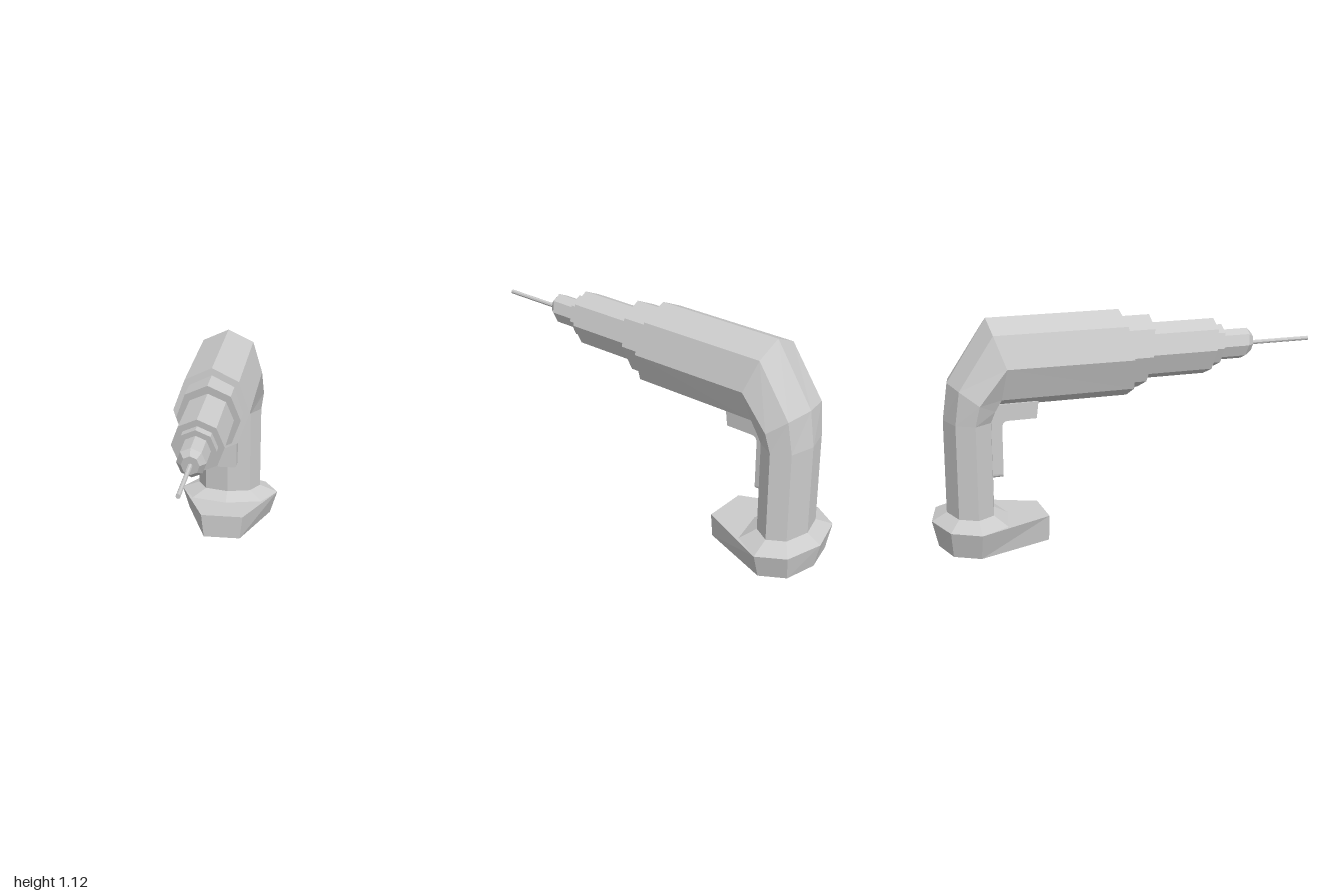
import * as THREE from 'three';

const material = new THREE.MeshStandardMaterial({ color: 0xcccccc, flatShading: true });
const AXIS_Y = 0.897; // height of the drill axis

// Full ring of 8 points from one half (5 points, first and last on x = 0)
function mirrorRing(half) {
  const other = half.slice(1, -1).reverse().map(([x, y, z]) => [-x, y, z]);
  return [...half, ...other];
}

// Elliptical octagon around the drill axis, leaning from zTop to zBottom
function axisRing(rx, ry, zTop, zBottom) {
  const half = [];
  for (let i = 0; i < 5; i++) {
    const a = (i * Math.PI) / 4;
    const t = (1 - Math.cos(a)) / 2;
    half.push([rx * Math.sin(a), AXIS_Y + ry * Math.cos(a), zTop + (zBottom - zTop) * t]);
  }
  half[4][0] = 0;
  return mirrorRing(half);
}

// Horizontal octagon, from back to front
function levelRing(y, back, x1, z1, x2, z2, x3, z3, front) {
  return mirrorRing([[0, y, back], [x1, y, z1], [x2, y, z2], [x3, y, z3], [0, y, front]]);
}

// Closed faceted skin through the rings
function loft(name, rings) {
  const pos = [];
  const tri = (...points) => points.forEach((p) => pos.push(...p));
  const n = rings[0].length;
  const centre = (ring) => [0, 1, 2].map((k) => ring.reduce((s, p) => s + p[k], 0) / n);
  const first = rings[0];
  const last = rings[rings.length - 1];
  for (let j = 0; j < n; j++) {
    const k = (j + 1) % n;
    for (let i = 0; i < rings.length - 1; i++) {
      const a = rings[i];
      const b = rings[i + 1];
      tri(a[j], a[k], b[k], a[j], b[k], b[j]);
    }
    tri(centre(first), first[k], first[j]);
    tri(centre(last), last[j], last[k]);
  }
  const geometry = new THREE.BufferGeometry();
  geometry.setAttribute('position', new THREE.Float32BufferAttribute(pos, 3));
  geometry.computeVertexNormals();
  const mesh = new THREE.Mesh(geometry, material);
  mesh.name = name;
  return mesh;
}

function createTrigger() {
  const trigger = new THREE.Group();
  trigger.name = 'trigger';
  const w = 0.056;
  const r = 0.018;

  // Grip strip with rounded lower corners
  const strip = new THREE.Shape();
  strip.moveTo(-w, 0.69);
  strip.lineTo(-w, 0.335 + r);
  strip.quadraticCurveTo(-w, 0.335, -w + r, 0.335);
  strip.lineTo(w - r, 0.335);
  strip.quadraticCurveTo(w, 0.335, w, 0.335 + r);
  strip.lineTo(w, 0.69);
  const stripGeometry = new THREE.ExtrudeGeometry(strip, { depth: 0.08, bevelEnabled: false, curveSegments: 4 });
  stripGeometry.translate(0, 0, -0.73);
  const stripMesh = new THREE.Mesh(stripGeometry, material);
  stripMesh.name = 'gripStrip';

  // Finger block with a fillet down to the strip; shape x stands for -z
  const block = new THREE.Shape();
  block.moveTo(0.468, 0.7);
  block.lineTo(0.478, 0.617);
  block.lineTo(0.625, 0.617);
  block.quadraticCurveTo(0.65, 0.615, 0.652, 0.58);
  block.lineTo(0.68, 0.58);
  block.lineTo(0.68, 0.7);
  const blockGeometry = new THREE.ExtrudeGeometry(block, { depth: 2 * w, bevelEnabled: false, curveSegments: 4 });
  blockGeometry.rotateY(Math.PI / 2);
  blockGeometry.translate(-w, 0, 0);
  const blockMesh = new THREE.Mesh(blockGeometry, material);
  blockMesh.name = 'fingerBlock';

  trigger.add(stripMesh, blockMesh);
  return trigger;
}

export function createModel() {
  const model = new THREE.Group();
  model.name = 'powerDrill';

  // Motor housing bending down into the handle
  const handleRing = (y) => levelRing(y, -0.925, 0.125, -0.89, 0.175, -0.805, 0.125, -0.72, -0.69);
  model.add(loft('housingAndHandle', [
    axisRing(0.19, 0.218, -0.04, 0),
    mirrorRing([[0, 1.115, -0.705], [0.135, 1.053, -0.7], [0.19, 0.9, -0.65], [0.135, 0.743, -0.667], [0, 0.68, -0.667]]),
    mirrorRing([[0, 0.815, -0.9], [0.137, 0.8, -0.87], [0.19, 0.735, -0.785], [0.135, 0.69, -0.7], [0, 0.655, -0.682]]),
    handleRing(0.635),
    handleRing(0.17),
  ]));

  // Stepped gearbox: rx, ry, front z at top and bottom, back z
  const steps = [
    ['gearboxCollar', 0.158, 0.182, 0.12, 0.056, -0.06],
    ['gearbox', 0.125, 0.14, 0.465, 0.415, 0.03],
    ['chuckCollar', 0.095, 0.106, 0.51, 0.472, 0.4],
  ];
  for (const [name, rx, ry, zTop, zBottom, back] of steps) {
    model.add(loft(name, [axisRing(rx, ry, zTop, zBottom), axisRing(rx, ry, back, back)]));
  }

  // Chuck with tapered nose
  model.add(loft('chuck', [
    axisRing(0.042, 0.048, 0.678, 0.662),
    axisRing(0.068, 0.077, 0.652, 0.62),
    axisRing(0.068, 0.077, 0.46, 0.46),
  ]));

  // Drill bit
  const bit = new THREE.Mesh(new THREE.CylinderGeometry(0.011, 0.011, 0.36, 8), material);
  bit.name = 'drillBit';
  bit.rotation.x = Math.PI / 2;
  bit.position.set(0, AXIS_Y, 0.82);
  model.add(bit);

  model.add(createTrigger());

  // Sloped collar between handle and battery
  model.add(loft('handleCollar', [
    handleRing(0.17),
    levelRing(0.13, -1, 0.195, -0.945, 0.275, -0.81, 0.195, -0.665, -0.62),
    levelRing(0.12, -0.99, 0.19, -0.94, 0.265, -0.81, 0.19, -0.665, -0.62),
  ]));

  // Battery pack, longer toward the front
  model.add(loft('battery', [
    levelRing(0.13, -1, 0.195, -0.945, 0.275, -0.81, 0.115, -0.44, -0.44),
    levelRing(0, -0.97, 0.165, -0.93, 0.235, -0.81, 0.1, -0.44, -0.44),
  ]));

  return model;
}
